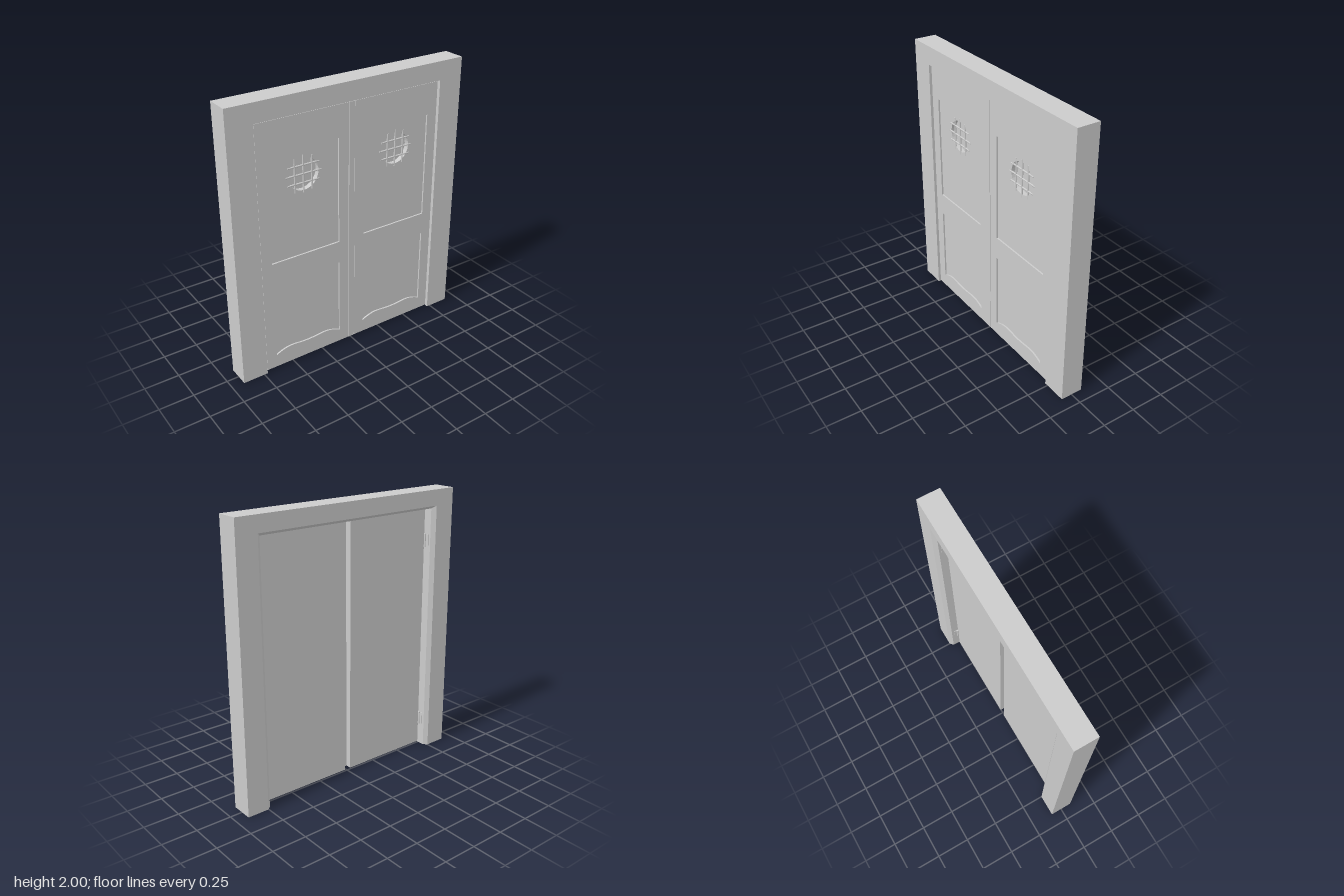
import * as THREE from 'three';

const material = new THREE.MeshStandardMaterial({ color: 0xcccccc });

function add(parent, name, geometry, x = 0, y = 0, z = 0) {
  const mesh = new THREE.Mesh(geometry, material);
  mesh.name = name;
  mesh.position.set(x, y, z);
  parent.add(mesh);
  return mesh;
}

const box = (w, h, d) => new THREE.BoxGeometry(w, h, d);

// Mitred surround: a chamfered section carried up, across and down
function frameGeometry() {
  const section = [
    [0.91, 2, -0.083], [0.91, 2, 0.083], [0.724, 1.865, 0.083],
    [0.724, 1.865, -0.058], [0.752, 1.885, -0.083],
  ];
  const n = section.length;
  const stations = [[1, 0], [1, 1], [-1, 1], [-1, 0]];
  const points = [];
  const index = [];
  for (const [sx, sy] of stations)
    for (const [x, y, z] of section) points.push(x * sx, y * sy, z);
  for (let i = 0; i < 3; i++) {
    for (let j = 0; j < n; j++) {
      const k = (j + 1) % n;
      const a = i * n + j, b = i * n + k, c = b + n, d = a + n;
      index.push(a, c, b, a, d, c);
    }
  }
  // feet of the two posts
  for (let j = 1; j < n - 1; j++) {
    index.push(0, j, j + 1);
    index.push(3 * n, 3 * n + j + 1, 3 * n + j);
  }
  const indexed = new THREE.BufferGeometry();
  indexed.setAttribute('position', new THREE.Float32BufferAttribute(points, 3));
  indexed.setIndex(index);
  const geometry = indexed.toNonIndexed();
  geometry.computeVertexNormals();
  return geometry;
}

// Leaf outline, centred on x = 0
const W = 0.345, BOTTOM = 0.013, TOP = 1.857;
const GRILLE_Y = 1.44, GRILLE_R = 0.115;

function leafOutline() {
  const s = new THREE.Shape();
  s.moveTo(-W, BOTTOM);
  s.lineTo(W, BOTTOM);
  s.lineTo(W, TOP);
  s.lineTo(-W, TOP);
  s.closePath();
  return s;
}

// Upper panel with a pointed ogee head
function upperPanel() {
  const p = new THREE.Path();
  p.moveTo(-0.267, 0.855);
  p.lineTo(0.267, 0.855);
  p.lineTo(0.267, 1.63);
  p.bezierCurveTo(0.12, 1.645, 0.09, 1.67, 0, 1.71);
  p.bezierCurveTo(-0.09, 1.67, -0.12, 1.645, -0.267, 1.63);
  p.closePath();
  return p;
}

// Lower panel with a wavy foot
function lowerPanel() {
  const p = new THREE.Path();
  p.moveTo(-0.267, 0.69);
  p.lineTo(-0.267, 0.11);
  p.bezierCurveTo(-0.15, 0.165, -0.13, 0.138, 0, 0.135);
  p.bezierCurveTo(0.13, 0.138, 0.15, 0.165, 0.267, 0.11);
  p.lineTo(0.267, 0.69);
  p.closePath();
  return p;
}

function layer(holes, depth) {
  const shape = leafOutline();
  shape.holes.push(...holes);
  return new THREE.ExtrudeGeometry(shape, { depth, bevelEnabled: false, curveSegments: 16 });
}

function doorLeaf(name) {
  const leaf = new THREE.Group();
  leaf.name = name;

  // solid back, panel layer with the round opening, and raised front frame
  add(leaf, 'leafBack', box(2 * W, TOP - BOTTOM, 0.025), 0, (TOP + BOTTOM) / 2, 0.0075);
  const opening = new THREE.Path();
  opening.absarc(0, GRILLE_Y, GRILLE_R, 0, Math.PI * 2, true);
  add(leaf, 'panelLayer', layer([opening], 0.036), 0, 0, 0.02);
  add(leaf, 'panelSurround', layer([upperPanel(), lowerPanel()], 0.012), 0, 0, 0.056);

  // crossed bars half sunk in the panel
  for (const i of [-1, 0, 1]) {
    const length = i ? 0.24 : 0.27;
    const bar = new THREE.CylinderGeometry(0.006, 0.006, length, 12);
    add(leaf, 'grilleUpright', bar, i * 0.065, GRILLE_Y, 0.054);
    add(leaf, 'grilleCrossbar', bar, 0, GRILLE_Y + i * 0.062, 0.054).rotation.z = Math.PI / 2;
  }
  return leaf;
}

function hinge(side, y) {
  const group = new THREE.Group();
  group.name = 'hinge';
  add(group, 'knuckle', new THREE.CylinderGeometry(0.007, 0.007, 0.1, 12), side * 0.716, y, -0.012);
  add(group, 'jambPlate', box(0.004, 0.09, 0.035), side * 0.722, y, -0.023);
  add(group, 'leafPlate', box(0.004, 0.09, 0.035), side * 0.716, y, 0.006);
  return group;
}

export function createModel() {
  const model = new THREE.Group();
  model.name = 'doubleDoor';

  add(model, 'doorFrame', frameGeometry());

  // post between the leaves, set back from their rear faces
  add(model, 'centrePost', box(0.044, TOP - BOTTOM, 0.034), 0, (TOP + BOTTOM) / 2, 0.053);

  for (const side of [1, -1]) {
    const leaf = doorLeaf(side > 0 ? 'leftDoor' : 'rightDoor');
    leaf.position.x = side * 0.37;
    leaf.children.forEach((part) => {
      if (part.name.startsWith('grille') || part.name === 'panelLayer') part.position.x += side * 0.0;
    });
    model.add(leaf);
    for (const y of [1.63, 0.22]) model.add(hinge(side, y));
  }
  return model;
}
